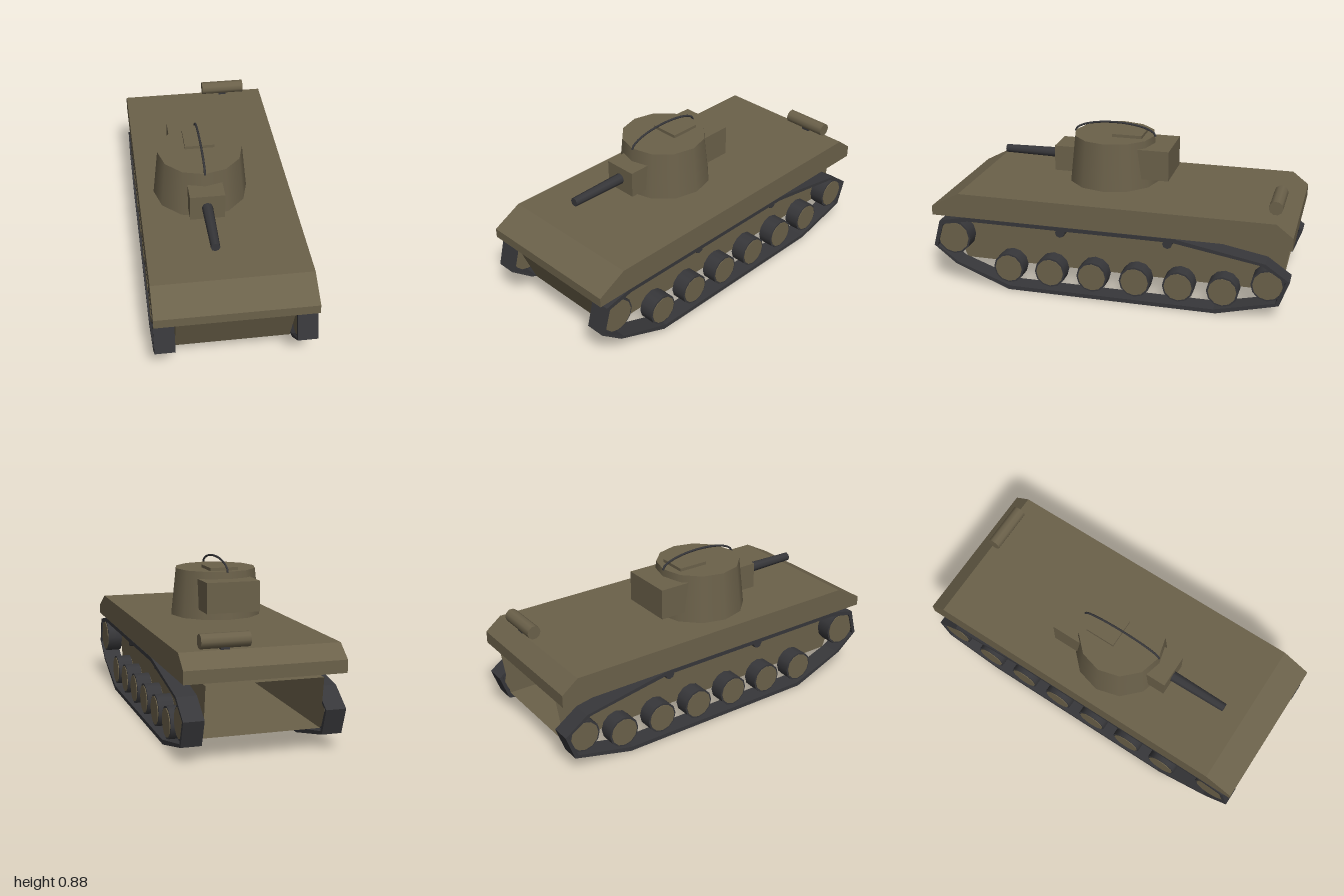
import * as THREE from 'three';

export function createModel() {
  const root = new THREE.Group();
  const olive = new THREE.MeshStandardMaterial({ color: 0x6b614a });
  olive.name = 'olive paint';
  const plate = new THREE.MeshStandardMaterial({ color: 0x6b614a, side: THREE.DoubleSide });
  plate.name = 'olive open plate';
  const dark = new THREE.MeshStandardMaterial({ color: 0x37373a });
  dark.name = 'dark steel';

  function add(name, geometry, material, x = 0, y = 0, z = 0, parent = root) {
    const mesh = new THREE.Mesh(geometry, material);
    mesh.name = name;
    mesh.position.set(x, y, z);
    parent.add(mesh);
    return mesh;
  }
  // Box given by its minimum and maximum corners
  function box(name, material, [x0, y0, z0], [x1, y1, z1]) {
    return add(name, new THREE.BoxGeometry(x1 - x0, y1 - y0, z1 - z0), material,
      (x0 + x1) / 2, (y0 + y1) / 2, (z0 + z1) / 2);
  }
  // Cylinder lying along x
  const axle = (r, width, sides) => new THREE.CylinderGeometry(r, r, width, sides).rotateZ(Math.PI / 2);
  // Side profile of [z, y] points extruded across x, with an optional hole
  function sideExtrude(points, width, hole) {
    const toVectors = (list) => list.map(([z, y]) => new THREE.Vector2(z, y));
    const shape = new THREE.Shape(toVectors(points));
    if (hole) shape.holes.push(new THREE.Path(toVectors(hole)));
    return new THREE.ExtrudeGeometry(shape, { depth: width, bevelEnabled: false })
      .translate(0, 0, -width / 2).rotateY(-Math.PI / 2);
  }

  // Upper hull with sloped front and rear edges
  add('upperHull', sideExtrude([
    [1, 0.408], [1, 0.46], [0.84, 0.545], [-0.91, 0.545], [-1, 0.475], [-1, 0.408],
  ], 0.84), olive);

  // Lower hull: tapered tub, open at the rear
  const tub = new THREE.BoxGeometry(0.61, 0.27, 1.94);
  const p = tub.attributes.position;
  for (let i = 0; i < p.count; i++) {
    const top = p.getY(i) > 0;
    p.setZ(i, p.getZ(i) > 0 ? (top ? 0.96 : 0.85) : (top ? -0.98 : -0.94));
  }
  tub.setIndex(Array.from(tub.index.array).slice(0, 30));
  tub.computeVertexNormals();
  add('lowerHull', tub, plate, 0, 0.255, 0);

  // Running gear, mirrored left and right
  const loop = [
    [0.96, 0.375], [0.81, 0.408], [-0.375, 0.406], [-0.865, 0.316], [-0.995, 0.225],
    [-0.945, 0.085], [-0.61, 0], [0.565, 0], [0.875, 0.125], [1, 0.225],
  ];
  const inner = loop.map(([z, y]) => [z * 0.98, 0.204 + (y - 0.204) * 0.89]);
  const trackGeometry = sideExtrude(loop, 0.107, inner);
  const wheels = [
    ['frontSprocket', 0.885, 0.28, 0.1],
    ['rearIdler', -0.88, 0.19, 0.09],
    ...[0.563, 0.322, 0.081, -0.16, -0.401, -0.642].map((z) => ['roadWheel', z, 0.125, 0.087]),
  ];
  for (const side of [1, -1]) {
    const gear = new THREE.Group();
    gear.name = side > 0 ? 'leftRunningGear' : 'rightRunningGear';
    root.add(gear);
    add('track', trackGeometry, dark, side * 0.3665, 0, 0, gear);
    for (const [name, z, y, r] of wheels) {
      add(name + 'Tyre', axle(r, 0.085, 12), dark, side * 0.366, y, z, gear);
      add(name + 'Disc', axle(r - 0.01, 0.093, 12), olive, side * 0.366, y, z, gear);
    }
    for (const z of [0.265, -0.335]) {
      add('returnRoller', axle(0.027, 0.09, 8), dark, side * 0.345, 0.36, z, gear);
    }
  }

  // Turret with gun housing, rear box and hatch
  const tx = -0.075, tz = 0.075;
  add('turret', new THREE.CylinderGeometry(0.232, 0.26, 0.265, 12), olive, tx, 0.6775, tz);
  box('gunHousing', olive, [-0.167, 0.59, 0.2], [0.02, 0.735, 0.405]);
  box('turretRearBox', olive, [-0.225, 0.6, -0.27], [0.08, 0.77, 0.02]);
  box('hatch', olive, [-0.155, 0.8, -0.1], [0.008, 0.827, 0.07]);
  add('gunBarrel', new THREE.CylinderGeometry(0.024, 0.03, 0.345, 8).rotateX(Math.PI / 2),
    dark, tx, 0.665, 0.5575);

  // Thin hoop arching over the turret roof
  const arc = [];
  for (let i = 0; i <= 16; i++) {
    const a = Math.PI * i / 16;
    arc.push(new THREE.Vector3(0, 0.067 * Math.sin(a), 0.235 * Math.cos(a)));
  }
  add('roofHoop', new THREE.TubeGeometry(new THREE.CatmullRomCurve3(arc), 24, 0.006, 6),
    dark, tx, 0.805, tz);

  // Exhaust on the rear deck
  add('exhaust', axle(0.038, 0.255, 10), olive, 0.1825, 0.589, -0.892);
  box('exhaustBracket', dark, [0.16, 0.54, -0.91], [0.205, 0.575, -0.875]);

  return root;
}
